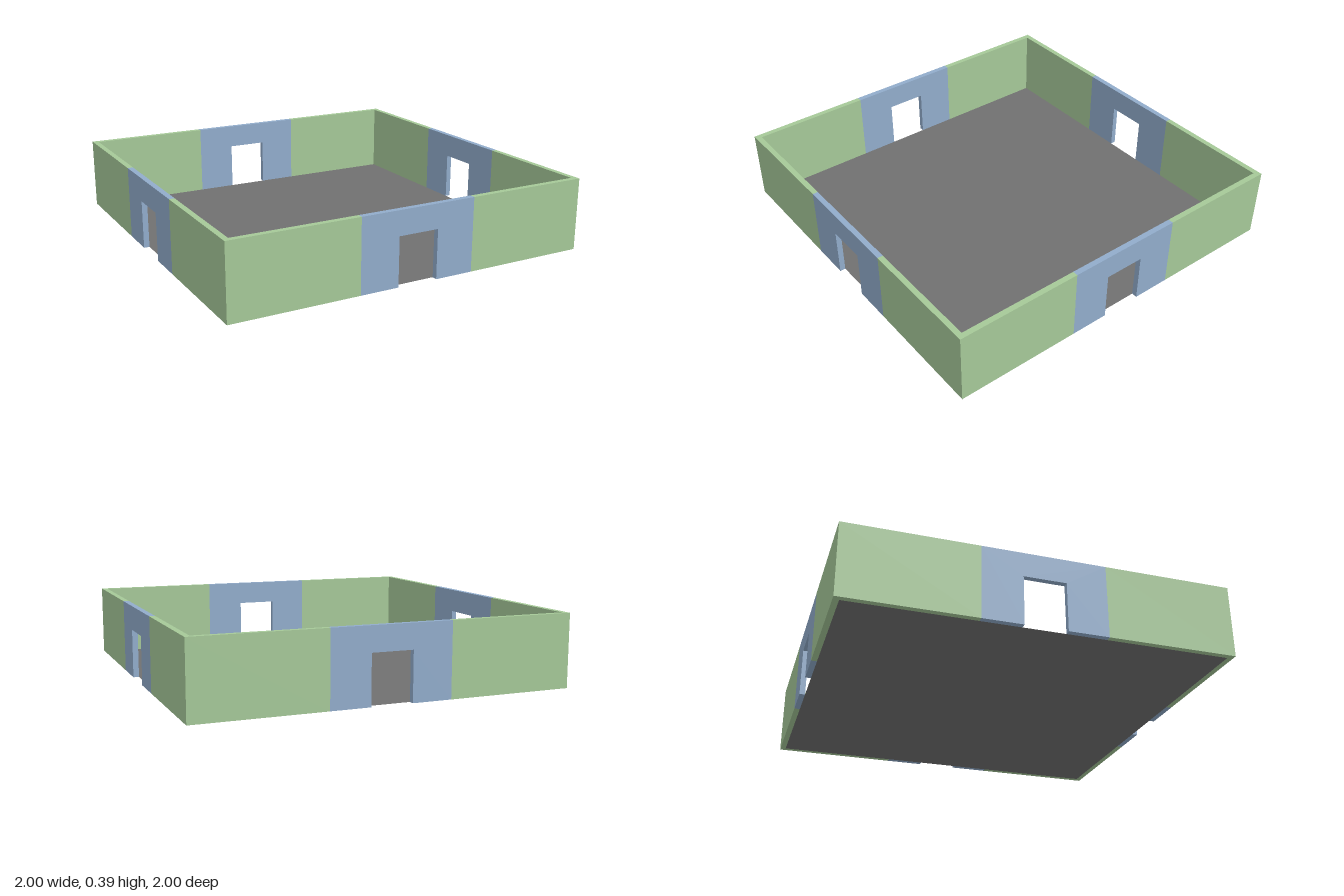
import * as THREE from 'three';

const HALF = 1, INNER = 0.97, HEIGHT = 0.39;
const PANEL = 0.32, DOOR = 0.11, DOOR_TOP = 0.26;

// Extrude a closed outline given as [x, y] points
function extrude(points, depth) {
  const shape = new THREE.Shape(points.map(([x, y]) => new THREE.Vector2(x, y)));
  return new THREE.ExtrudeGeometry(shape, { depth, bevelEnabled: false });
}

export function createModel() {
  const room = new THREE.Group();
  room.name = 'room';

  const green = new THREE.MeshStandardMaterial({ color: 0xa5c898 });
  const blue = new THREE.MeshStandardMaterial({ color: 0x91accb });
  const grey = new THREE.MeshStandardMaterial({ color: 0x707070, side: THREE.DoubleSide });

  // Thin floor sheet between the walls
  const floor = new THREE.Mesh(new THREE.PlaneGeometry(2 * INNER, 2 * INNER).rotateX(-Math.PI / 2), grey);
  floor.name = 'floor';
  room.add(floor);

  // L-shaped corner wall, drawn in plan and raised
  const cornerGeometry = extrude([
    [PANEL, INNER], [INNER, INNER], [INNER, PANEL],
    [HALF, PANEL], [HALF, HALF], [PANEL, HALF],
  ], HEIGHT).rotateX(-Math.PI / 2);

  // Middle wall panel with a doorway open to the ground
  const doorwayGeometry = extrude([
    [-PANEL, 0], [-DOOR, 0], [-DOOR, DOOR_TOP], [DOOR, DOOR_TOP],
    [DOOR, 0], [PANEL, 0], [PANEL, HEIGHT], [-PANEL, HEIGHT],
  ], HALF - INNER).translate(0, 0, INNER);

  // One doorway and one corner per side
  ['front', 'left', 'back', 'right'].forEach((side, i) => {
    const wall = new THREE.Group();
    wall.name = `${side}Wall`;
    const corner = new THREE.Mesh(cornerGeometry, green);
    corner.name = 'cornerWall';
    const doorway = new THREE.Mesh(doorwayGeometry, blue);
    doorway.name = 'doorwayPanel';
    wall.add(corner, doorway);
    wall.rotation.y = i * Math.PI / 2;
    room.add(wall);
  });

  return room;
}
